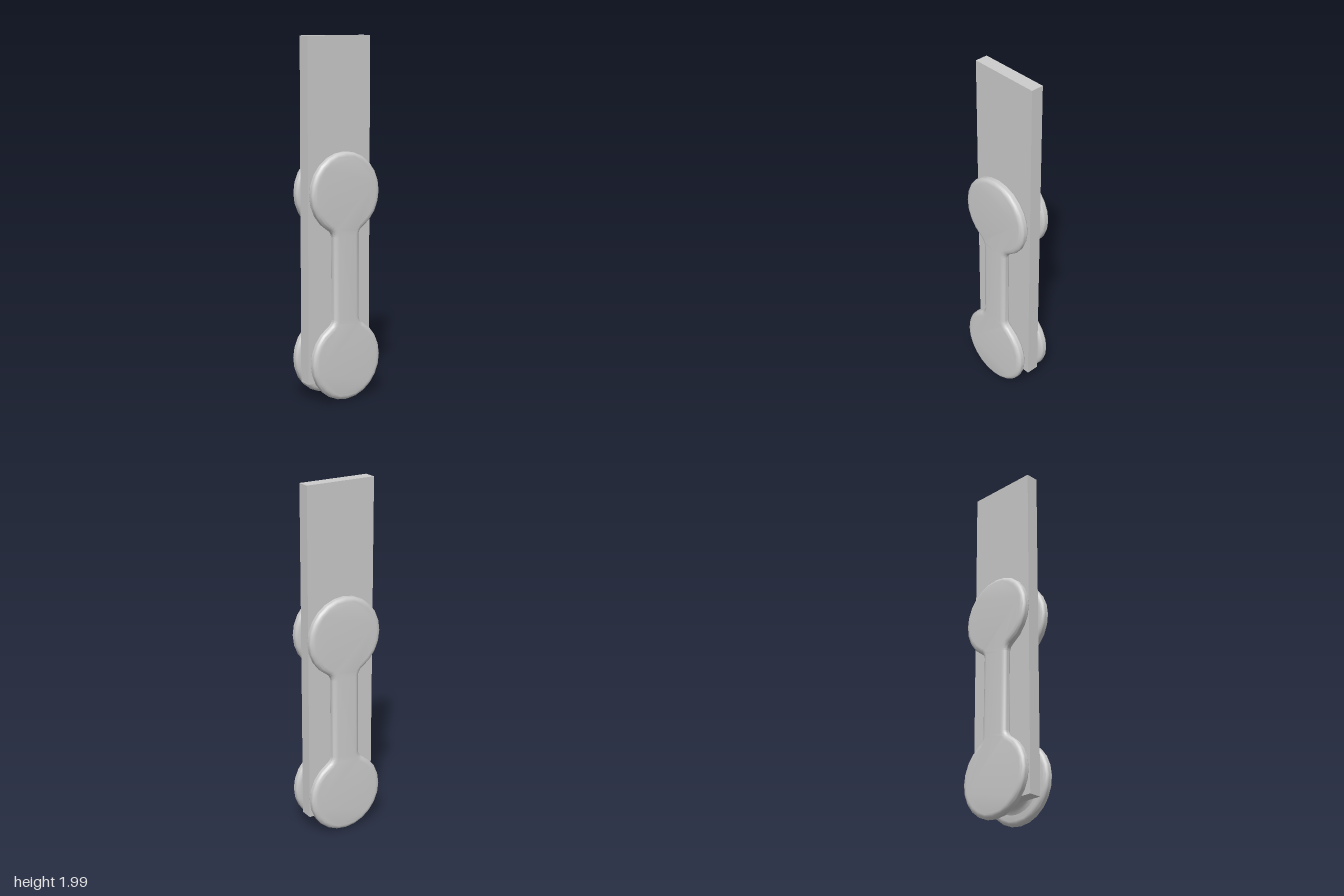
import * as THREE from 'three';
import { toCreasedNormals } from 'three/addons/utils/BufferGeometryUtils.js';

const grey = new THREE.MeshStandardMaterial({ color: 0xcccccc });

function part(name, geometry) {
  const mesh = new THREE.Mesh(geometry, grey);
  mesh.name = name;
  return mesh;
}

const H = 0.4625;     // disc centre, above and below the grip's middle
const R = 0.225;      // disc radius
const NECK = 0.085;   // half width of the neck
const FILLET = 0.05;  // radius where neck meets disc

// Two discs joined by a filleted neck
function gripGeometry() {
  const fx = NECK + FILLET;
  const drop = Math.sqrt((R + FILLET) ** 2 - fx ** 2);
  const fy = H - drop;
  const a = Math.atan2(drop, fx);
  const { PI } = Math;
  const shape = new THREE.Shape();
  shape.absarc(fx, fy, FILLET, PI, PI - a, true);
  shape.absarc(0, H, R, -a, PI + a, false);
  shape.absarc(-fx, fy, FILLET, a, 0, true);
  shape.absarc(-fx, -fy, FILLET, 0, -a, true);
  shape.absarc(0, -H, R, PI - a, 2 * PI + a, false);
  shape.absarc(fx, -fy, FILLET, PI + a, PI, true);
  const geometry = new THREE.ExtrudeGeometry(shape, {
    depth: 0.004, curveSegments: 10,
    bevelThickness: 0.025, bevelSize: 0.03, bevelOffset: -0.03, bevelSegments: 6,
  });
  geometry.translate(0, 0, -0.002);
  return toCreasedNormals(geometry, 0.7);
}

// Round spacer that flares out towards the grip
function spacerGeometry() {
  const profile = [[0, -0.08], [0.135, -0.08], [0.138, -0.055], [0.146, -0.04], [0.158, -0.031], [0.175, -0.025], [0.175, -0.015]]
    .map(([r, y]) => new THREE.Vector2(r, y));
  const geometry = new THREE.LatheGeometry(profile, 32).rotateX(Math.PI / 2);
  return toCreasedNormals(geometry, 0.7);
}

export function createModel() {
  const model = new THREE.Group();
  model.name = 'barWithGrips';

  // Flat bar
  const bar = part('bar', new THREE.BoxGeometry(0.41, 1.89, 0.073));
  bar.position.set(0, 1.055, -0.0085);
  model.add(bar);

  // Matching grips on both faces, leaning slightly apart at the bottom
  const gripShape = gripGeometry();
  const spacerShape = spacerGeometry();
  for (const [name, side] of [['frontGrip', 1], ['backGrip', -1]]) {
    const grip = new THREE.Group();
    grip.name = name;
    grip.add(part('gripPlate', gripShape));
    for (const [label, y] of [['upperSpacer', H], ['lowerSpacer', -H]]) {
      const spacer = part(label, spacerShape);
      spacer.position.y = y;
      grip.add(spacer);
    }
    grip.position.set(0, 0.6975, side * 0.081);
    grip.rotation.set(-side * 0.0115, side > 0 ? 0 : Math.PI, 0);
    model.add(grip);
  }
  return model;
}
